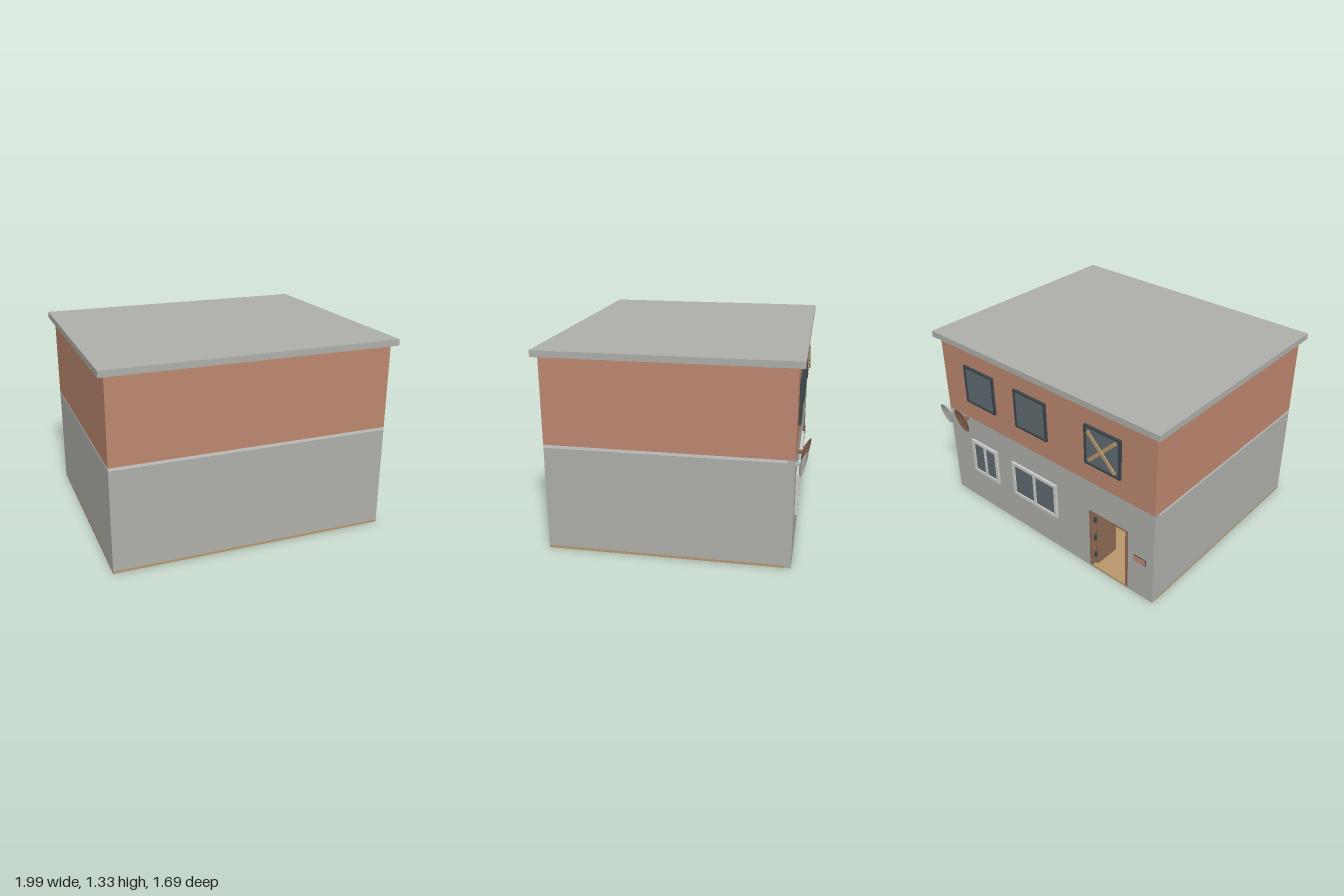
import * as THREE from 'three';

const mat = (name, color, side = THREE.FrontSide) => {
  const m = new THREE.MeshStandardMaterial({ color, side });
  m.name = name;
  return m;
};

export function createModel() {
  const house = new THREE.Group();
  house.name = 'house';
  const concrete = mat('concrete', 0xaeaea9);
  const brick = mat('brick', 0xbc876f);
  const plaster = mat('plaster', 0xcbcbc8);
  const wood = mat('tan wood', 0xb8966a);
  const brown = mat('brown wood', 0x8f6a55, THREE.DoubleSide);
  const glass = mat('glass', 0x5d6a71);
  const slate = mat('slate frame', 0x3d464a);
  const dishGrey = mat('dish grey', 0xb8b8b4, THREE.DoubleSide);

  const L = -0.96, R = 0.935, F = 0.805, B = -0.765, T = 0.045;
  const floorTop = 0.016, ceilingLow = 0.695, storey = 0.715, eaves = 1.285;

  // Box given by its minimum and maximum corners
  const box = (name, m, x0, x1, y0, y1, z0, z1, parent = house) => {
    const mesh = new THREE.Mesh(new THREE.BoxGeometry(x1 - x0, y1 - y0, z1 - z0), m);
    mesh.position.set((x0 + x1) / 2, (y0 + y1) / 2, (z0 + z1) / 2);
    mesh.name = name;
    parent.add(mesh);
    return mesh;
  };

  // Slabs, upper storey and roof
  box('floorSlab', wood, L, R, 0, floorTop, B + T, F);
  box('ceilingSlab', plaster, L, R, ceilingLow, storey, B + T, F);
  box('upperStorey', brick, L, R, storey, eaves, B, F);
  box('roof', concrete, -1, 0.975, eaves, 1.327, -0.803, 0.84);

  // Ground floor walls with a pale lining inside
  box('frontWall', concrete, L, R, floorTop, ceilingLow, F - T, F);
  box('rightWall', concrete, L, L + T, floorTop, ceilingLow, B + T, F - T);
  box('leftWall', concrete, R - T, R, floorTop, ceilingLow, B + T, F - T);
  const t = 0.004;
  box('frontLining', plaster, L + T, R - T, floorTop, ceilingLow, F - T - t, F - T);
  box('rightLining', plaster, L + T, L + T + t, floorTop, ceilingLow, B + T, F - T);
  box('leftLining', plaster, R - T - t, R - T, floorTop, ceilingLow, B + T, F - T);

  // Back wall with the doorway cut out
  const d0 = -0.755, d1 = -0.43, doorTop = 0.485;
  const outline = [[L, 0], [d0, 0], [d0, doorTop], [d1, doorTop], [d1, 0], [R, 0], [R, storey], [L, storey]];
  const wallShape = new THREE.Shape(outline.map(([x, y]) => new THREE.Vector2(x, y)));
  const backWall = new THREE.Mesh(
    new THREE.ExtrudeGeometry(wallShape, { depth: T, bevelEnabled: false }), concrete);
  backWall.position.z = B;
  backWall.name = 'backWall';
  house.add(backWall);

  // Doorway: threshold, frame, open leaf and hinges
  const door = new THREE.Group();
  door.name = 'door';
  house.add(door);
  box('threshold', wood, d0, d1, 0, floorTop, B, B + T, door);
  const j = 0.02;
  box('doorJamb', brown, d0, d0 + j, floorTop, doorTop, B - 0.004, B + T, door);
  box('doorJamb', brown, d1 - j, d1, floorTop, doorTop, B - 0.004, B + T, door);
  box('doorHead', brown, d0 + j, d1 - j, doorTop - 0.012, doorTop, B - 0.004, B + T, door);
  box('doorLeaf', brown, d1 - 0.04, d1 - 0.022, floorTop, doorTop - 0.015, -0.735, -0.55, door);
  for (const y of [0.1, 0.25, 0.4])
    box('hinge', slate, d1 - 0.035, d1 - j, y - 0.02, y + 0.02, -0.75, -0.735, door);

  // Framed window on the back wall, with an optional middle bar
  const windowAt = (name, m, x0, x1, y0, y1, w, depth, mullion) => {
    const g = new THREE.Group();
    g.name = name;
    house.add(g);
    const z = B - depth;
    box('frameSide', m, x0, x0 + w, y0, y1, z, B, g);
    box('frameSide', m, x1 - w, x1, y0, y1, z, B, g);
    box('frameTop', m, x0 + w, x1 - w, y1 - w, y1, z, B, g);
    box('frameBottom', m, x0 + w, x1 - w, y0, y0 + w, z, B, g);
    box('pane', glass, x0 + w, x1 - w, y0 + w, y1 - w, B - 0.008, B, g);
    const c = (x0 + x1) / 2;
    if (mullion) box('mullion', m, c - w / 2, c + w / 2, y0 + w, y1 - w, z + 0.003, B, g);
  };
  for (const x of [0.56, 0.067, -0.555])
    windowAt('upperWindow', slate, x - 0.145, x + 0.145, 0.86, 1.145, 0.014, 0.016, false);
  windowAt('smallLowerWindow', plaster, 0.447, 0.71, 0.26, 0.535, 0.022, 0.018, true);
  windowAt('wideLowerWindow', plaster, -0.14, 0.285, 0.26, 0.535, 0.022, 0.018, true);

  // Crossed boards over the last upper window
  [-1, 1].forEach((s, i) => {
    const board = new THREE.Mesh(new THREE.BoxGeometry(0.31, 0.024, 0.008), wood);
    board.position.set(-0.555, 1.003, B - 0.015 - i * 0.008);
    board.rotation.z = s * Math.PI / 4;
    board.name = 'crossBoard';
    house.add(board);
  });

  // Small plaque beside the door
  box('plaqueEdge', slate, -0.9, -0.805, 0.282, 0.328, B - 0.005, B);
  box('plaque', brick, -0.896, -0.809, 0.286, 0.324, B - 0.009, B - 0.005);

  // Dishes: shallow bowls tilted on short mounts
  const dish = (name, m, x, y, z, r) => {
    const profile = [[0, -0.022], [0.5, -0.017], [0.85, -0.006], [1, 0.002], [0.97, 0.005], [0.6, -0.006], [0, -0.012]]
      .map(([a, h]) => new THREE.Vector2(a * r, h));
    const bowl = new THREE.Mesh(new THREE.LatheGeometry(profile, 32), m);
    bowl.position.set(x, y, z);
    bowl.quaternion.setFromUnitVectors(
      new THREE.Vector3(0, 1, 0), new THREE.Vector3(0.18, -0.2, -1).normalize());
    bowl.name = name;
    house.add(bowl);
    box(name + 'Mount', m, x - 0.012, Math.min(x + 0.012, R), y - 0.01, y + 0.01, z + 0.012, B);
  };
  dish('greyDish', dishGrey, 0.917, 0.688, -0.814, 0.078);
  dish('brownDish', brown, 0.742, 0.702, -0.82, 0.09);

  return house;
}
